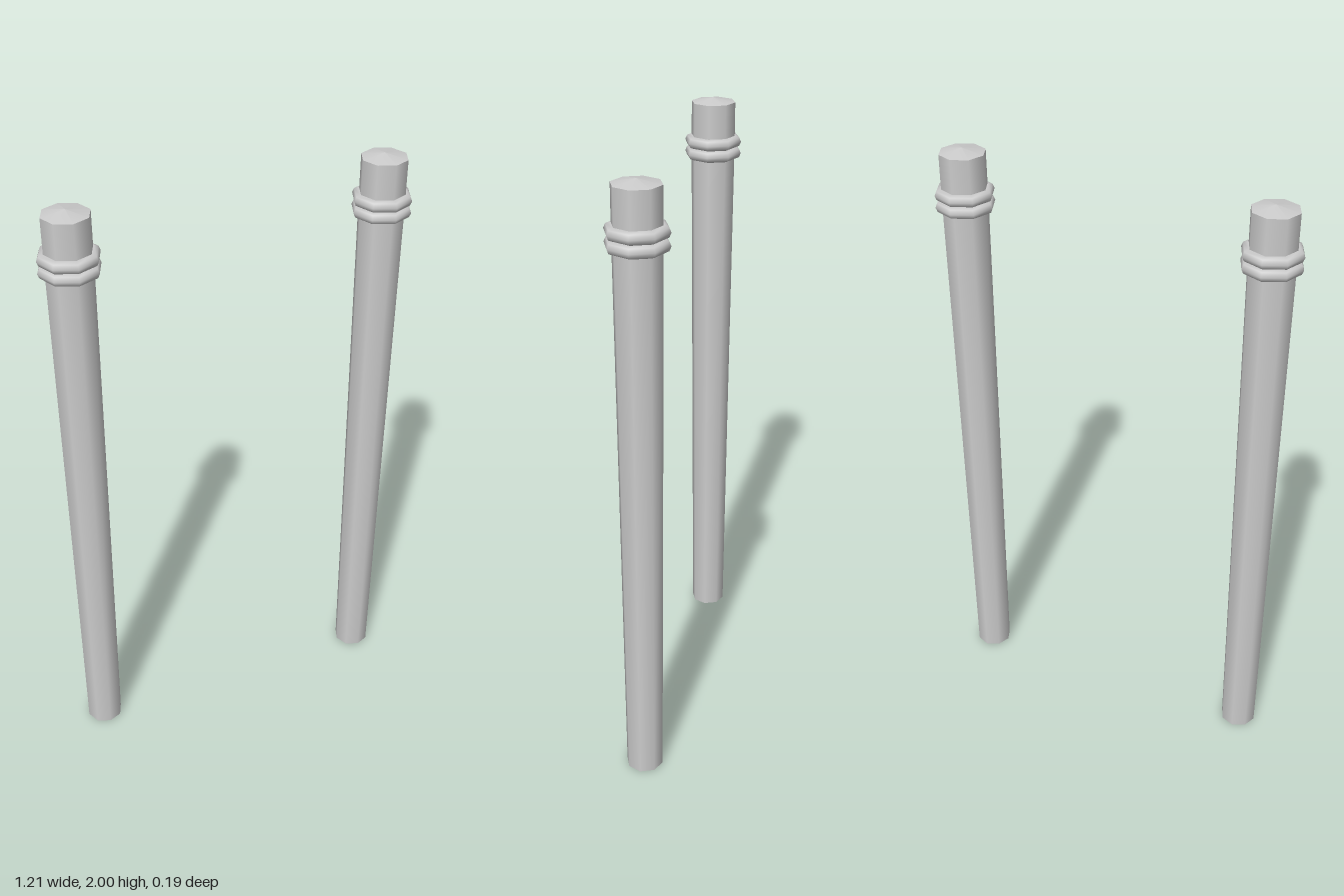
import * as THREE from 'three';

const SIDES = 8;

function createPost(name, x, material) {
  const post = new THREE.Group();
  post.name = name;
  post.position.x = x;
  const add = (partName, geometry, y) => {
    const mesh = new THREE.Mesh(geometry, material);
    mesh.name = partName;
    mesh.position.y = y;
    post.add(mesh);
  };

  // Tapered shaft, open at the foot, with a straight neck above it
  add('shaft', new THREE.CylinderGeometry(0.075, 0.061, 1.82, SIDES, 1, true), 0.91);
  add('neck', new THREE.CylinderGeometry(0.075, 0.075, 0.166, SIDES, 1, true), 1.903);

  // Shallow pointed cap
  add('cap', new THREE.ConeGeometry(0.075, 0.014, SIDES, 1, true), 1.993);

  // Pair of rounded collar rings
  [['lowerRing', 1.815], ['upperRing', 1.854]].forEach(([ringName, y]) => {
    add(ringName, new THREE.TorusGeometry(0.077, 0.02, 8, SIDES).rotateX(Math.PI / 2), y);
  });
  return post;
}

export function createModel() {
  const model = new THREE.Group();
  model.name = 'postPair';
  const material = new THREE.MeshStandardMaterial({ color: 0xcccccc, side: THREE.DoubleSide });
  model.add(createPost('leftPost', 0.509, material), createPost('rightPost', -0.509, material));
  return model;
}
